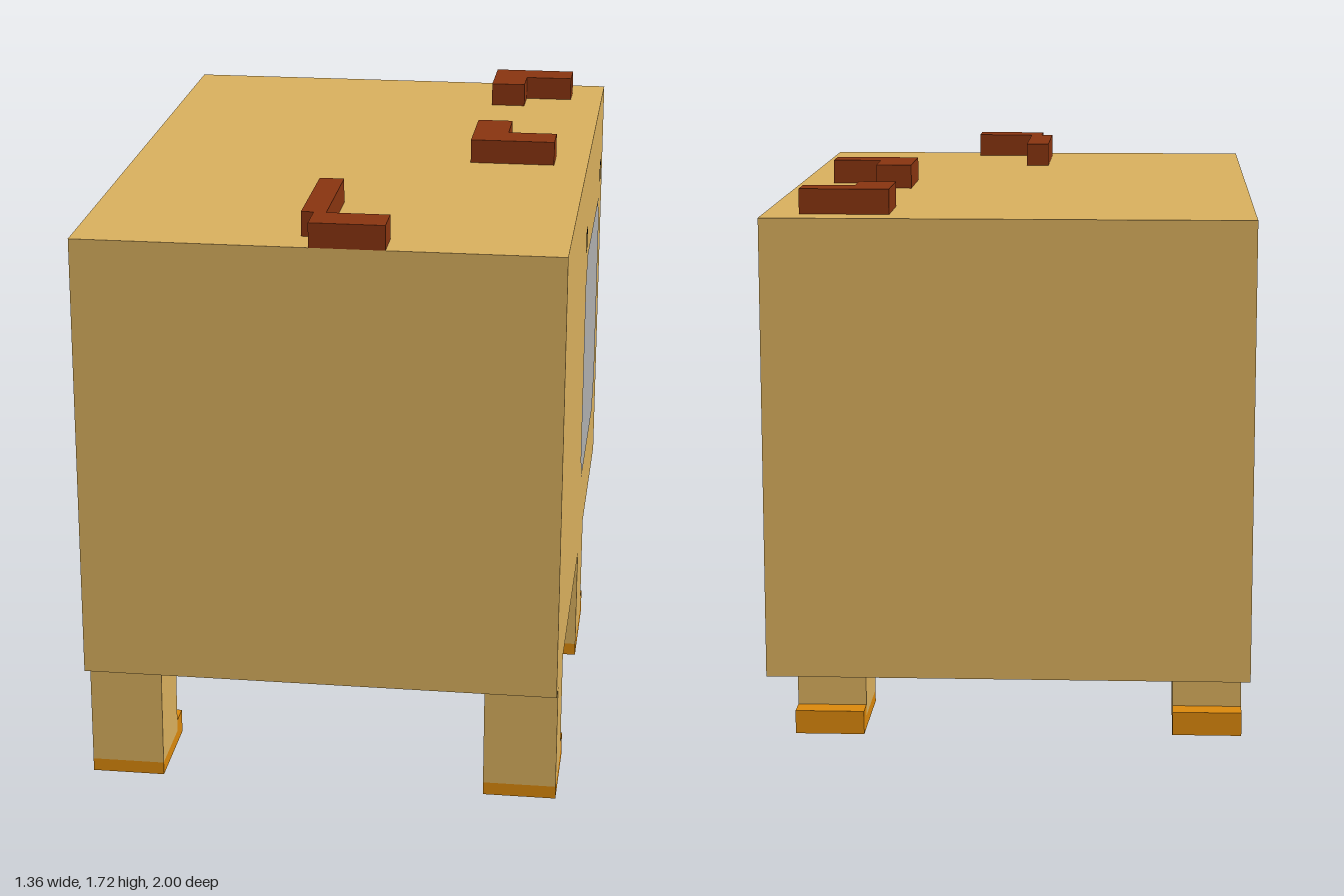
import * as THREE from 'three';

const mat = (color, extra = {}) => new THREE.MeshStandardMaterial({ color, ...extra });
const tan = mat(0xdcb25f);
const orange = mat(0xde8a0c);
const brown = mat(0x8a3510);
const grey = mat(0xb2b2b2, { side: THREE.DoubleSide });
const black = mat(0x0d0d0d, { side: THREE.DoubleSide });

const TOP = 1.65, BELLY = 0.355, HALF_W = 0.68;

// Box given by its min / max along each axis
function box(name, material, [x0, x1], [y0, y1], [z0, z1]) {
  const mesh = new THREE.Mesh(new THREE.BoxGeometry(x1 - x0, y1 - y0, z1 - z0), material);
  mesh.position.set((x0 + x1) / 2, (y0 + y1) / 2, (z0 + z1) / 2);
  mesh.name = name;
  return mesh;
}

// Leg with an orange sole and a toe that points to -z
function leg(name, side, zFront, depth) {
  const g = new THREE.Group();
  g.name = name;
  const xs = side > 0 ? [0.47, HALF_W] : [-HALF_W, -0.47];
  const zBack = zFront - depth;
  g.add(
    box('shin', tan, xs, [0.038, BELLY], [zBack, zFront]),
    box('sole', orange, xs, [0, 0.038], [zBack, zFront]),
    box('toe', orange, xs, [0, 0.072], [zBack - 0.07, zBack])
  );
  return g;
}

// Angled ridge made of two bars lying on the top
function ridge(name, bars) {
  const g = new THREE.Group();
  g.name = name;
  for (const [xs, zs] of bars) g.add(box('bar', brown, xs, [TOP, TOP + 0.07], zs));
  return g;
}

// Flat plate on the +x side, with stepped corners
function sidePlate(name, material, zc, yc, w, h, step) {
  const corner = step ? [[0, 2], [1, 2], [1, 1], [2, 1], [2, 0]] : [[0, 0]];
  const pts = [];
  for (const [sx, sy] of [[-1, 1], [1, 1], [1, -1], [-1, -1]]) {
    const part = corner.map(([a, b]) =>
      new THREE.Vector2(sx * (w / 2 - a * step), sy * (h / 2 - b * step)));
    pts.push(...(sx * sy < 0 ? part : part.reverse()));
  }
  const mesh = new THREE.Mesh(new THREE.ShapeGeometry(new THREE.Shape(pts)), material);
  mesh.rotation.y = Math.PI / 2;
  mesh.position.set(HALF_W + 0.002, yc, zc);
  mesh.name = name;
  return mesh;
}

export function createModel() {
  const model = new THREE.Group();
  model.name = 'boxCreature';

  model.add(box('body', tan, [-HALF_W, HALF_W], [BELLY, TOP], [-1, 1]));

  // Legs: the front pair match, the rear pair are staggered
  model.add(
    leg('frontLeftLeg', 1, 0.93, 0.21),
    leg('frontRightLeg', -1, 0.93, 0.21),
    leg('rearLeftLeg', 1, -0.05, 0.28),
    leg('rearRightLeg', -1, -0.015, 0.28)
  );

  // Ridges on top
  model.add(
    ridge('rearRidge', [[[0.33, 0.58], [-0.9, -0.795]], [[0.33, 0.435], [-0.795, -0.69]]]),
    ridge('middleRidge', [[[0.33, 0.58], [-0.055, 0.05]], [[0.33, 0.435], [-0.2, -0.055]]]),
    ridge('frontRidge', [[[-0.055, 0.015], [0.54, 0.893]], [[-0.02, 0.19], [0.893, 1]]])
  );

  // Face on the +x side
  model.add(
    sidePlate('facePanel', grey, -0.417, 0.967, 0.805, 0.735, 0.036),
    sidePlate('eyeFront', black, -0.015, 1.405, 0.07, 0.07, 0),
    sidePlate('eyeRear', black, -0.825, 1.405, 0.07, 0.07, 0)
  );

  return model;
}
